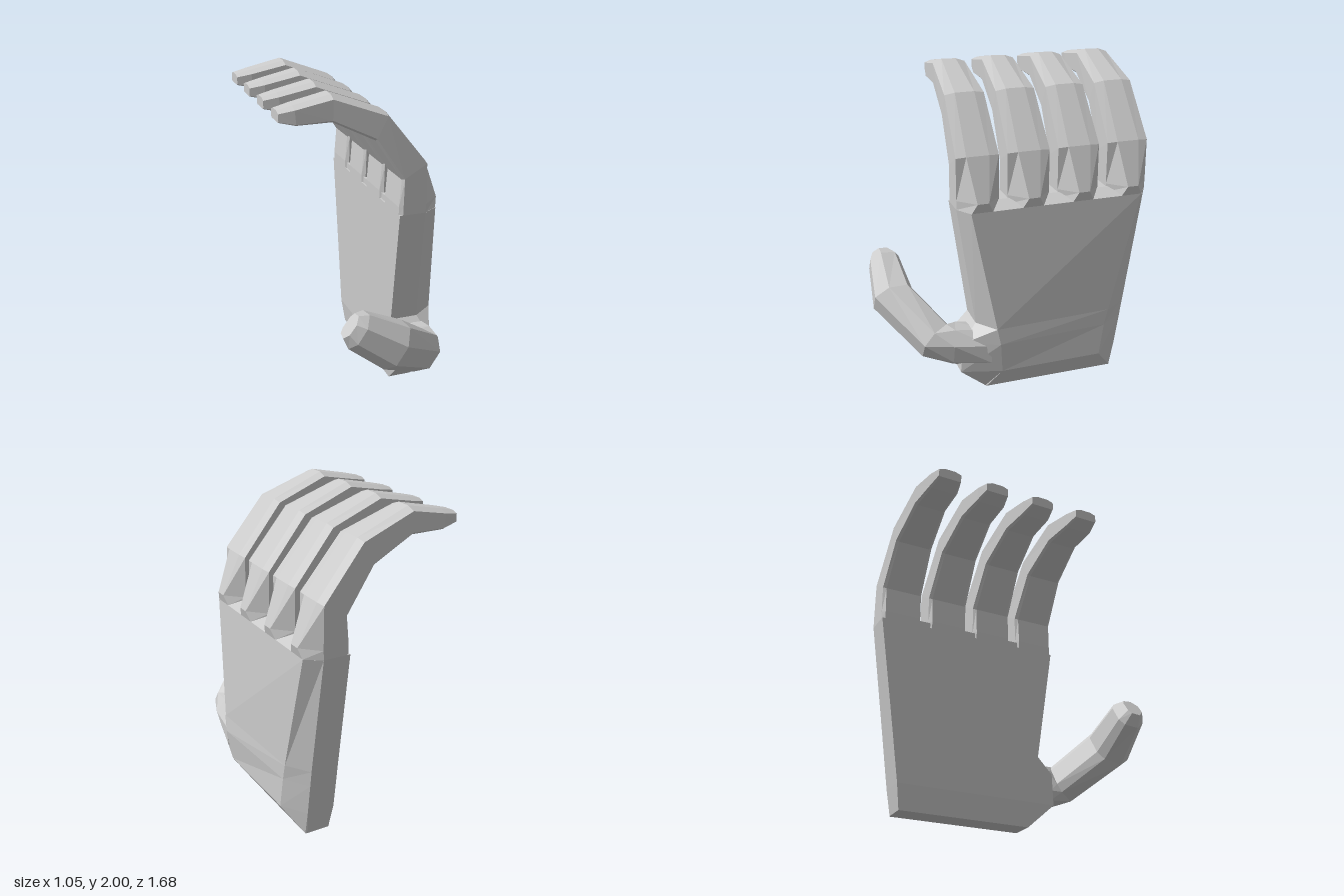
import * as THREE from 'three';

const material = new THREE.MeshStandardMaterial({ color: 0xcccccc, flatShading: true });

// Closed skin over a list of rings (each an array of Vector3, counter-clockwise about the travel direction)
function loft(name, rings) {
  const n = rings[0].length, index = [];
  const points = rings.flat();
  for (let r = 0; r < rings.length - 1; r++) {
    for (let i = 0; i < n; i++) {
      const a = r * n + i, b = r * n + (i + 1) % n;
      index.push(a, b, b + n, a, b + n, a + n);
    }
  }
  const last = (rings.length - 1) * n;
  for (let i = 1; i < n - 1; i++) {
    index.push(0, i + 1, i, last, last + i, last + i + 1);
  }
  const geometry = new THREE.BufferGeometry().setFromPoints(points);
  geometry.setIndex(index);
  const flat = geometry.toNonIndexed();
  flat.computeVertexNormals();
  const mesh = new THREE.Mesh(flat, material);
  mesh.name = name;
  return mesh;
}

const V = (x, y, z) => new THREE.Vector3(x, y, z);

// Palm: six-sided sections; back corners [x, z], side edges [x, z], inner corners [x, z]
function makePalm() {
  const sections = [
    { y: 0, back: [0.38, 0.2, 0.38, -0.655], side: [0.37, 0.205, 0.37, -0.66], inner: 0.22 },
    { y: 0.16, back: [0.49, 0.13, 0.485, -0.53], side: [0.42, 0.38, 0.38, -0.685], inner: 0.2 },
    { y: 0.365, back: [0.52, 0.15, 0.48, -0.56], side: [0.43, 0.37, 0.38, -0.715], inner: 0.2 },
    { y: 0.47, back: [0.513, 0.17, 0.48, -0.585], side: [0.38, 0.27, 0.38, -0.73], inner: 0.2 },
    { y: 1.23, back: [0.465, 0.315, 0.465, -0.78], side: [0.37, 0.378, 0.37, -0.845], inner: 0.2 },
  ];
  return loft('palm', sections.map(({ y, back: b, side: s, inner }) => [
    V(b[0], y, b[1]), V(b[2], y, b[3]),
    V(s[2], y, s[3]), V(inner, y, s[3]),
    V(inner, y, s[1]), V(s[0], y, s[1]),
  ]));
}

// Finger: sections from the knuckle to the tip, chamfered on the outer and inner sides
function makeFinger(name, z) {
  // outer x, y, inner x, y, half width, half width of the ridge, chamfer depth
  const sections = [
    [0.465, 1.23, 0.2, 1.23, 0.132, 0.065, 0.36],
    [0.482, 1.29, 0.2, 1.28, 0.132, 0.035, 0.39],
    [0.38, 1.55, 0.215, 1.455, 0.132, 0.07, 0.06],
    [0.125, 1.87, 0.045, 1.715, 0.122, 0.06, 0.08],
    [-0.21, 2.0, -0.215, 1.845, 0.102, 0.045, 0.13],
    [-0.44, 1.952, -0.43, 1.842, 0.092, 0.04, 0.16],
    [-0.53, 1.93, -0.53, 1.865, 0.073, 0.035, 0.2],
  ];
  return loft(name, sections.map(([ox, oy, ix, iy, hw, ridge, depth]) => {
    const p = (t, dz) => V(ox + (ix - ox) * t, oy + (iy - oy) * t, z + dz);
    return [
      p(0, ridge), p(0, -ridge), p(depth, -hw), p(0.92, -hw),
      p(1, -hw * 0.85), p(1, hw * 0.85), p(0.92, hw), p(depth, hw),
    ];
  }));
}

// Thumb: rounded sections swept out of the palm and bent across it
function makeThumb() {
  const outline = [
    [1, -0.45], [1, 0.45], [0.3, 1], [-0.7, 0.9],
    [-1, 0.5], [-1, -0.5], [-0.7, -0.9], [0.3, -1],
  ];
  // centre, outward axis, upward axis, half thickness, half width
  const sections = [
    [[0.36, 0.29, 0.2], [1, 0, 0], [0, 1, 0], 0.13, 0.13],
    [[0.34, 0.32, 0.4], [0.95, -0.1, 0.25], [0.25, 0.95, 0], 0.115, 0.145],
    [[0.31, 0.345, 0.51], [0.5, -0.25, 0.83], [0.55, 0.83, 0], 0.11, 0.14],
    [[0.04, 0.545, 0.715], [0, -0.1, 1], [0.55, 0.83, 0], 0.118, 0.15],
    [[-0.2, 0.695, 0.715], [0, 0, 1], [0.55, 0.83, 0], 0.092, 0.12],
    [[-0.25, 0.735, 0.725], [0, 0, 1], [0.6, 0.8, 0], 0.055, 0.08],
  ];
  return loft('thumb', sections.map(([centre, out, up, thickness, width]) =>
    outline.map(([a, b]) => V(...centre)
      .addScaledVector(V(...out), a * thickness)
      .addScaledVector(V(...up), b * width))));
}

// Webbing: low sloped ridge joining the finger bases
function makeWebbing() {
  const ring = (z) => [V(0.21, 1.22, z), V(0.464, 1.23, z), V(0.38, 1.27, z), V(0.21, 1.27, z)];
  return loft('webbing', [ring(-0.715), ring(0.245)]);
}

export function createModel() {
  const hand = new THREE.Group();
  hand.name = 'hand';
  hand.add(makePalm(), makeWebbing(), makeThumb());
  const fingers = { indexFinger: 0.246, middleFinger: -0.072, ringFinger: -0.392, littleFinger: -0.713 };
  for (const [name, z] of Object.entries(fingers)) hand.add(makeFinger(name, z));
  return hand;
}
